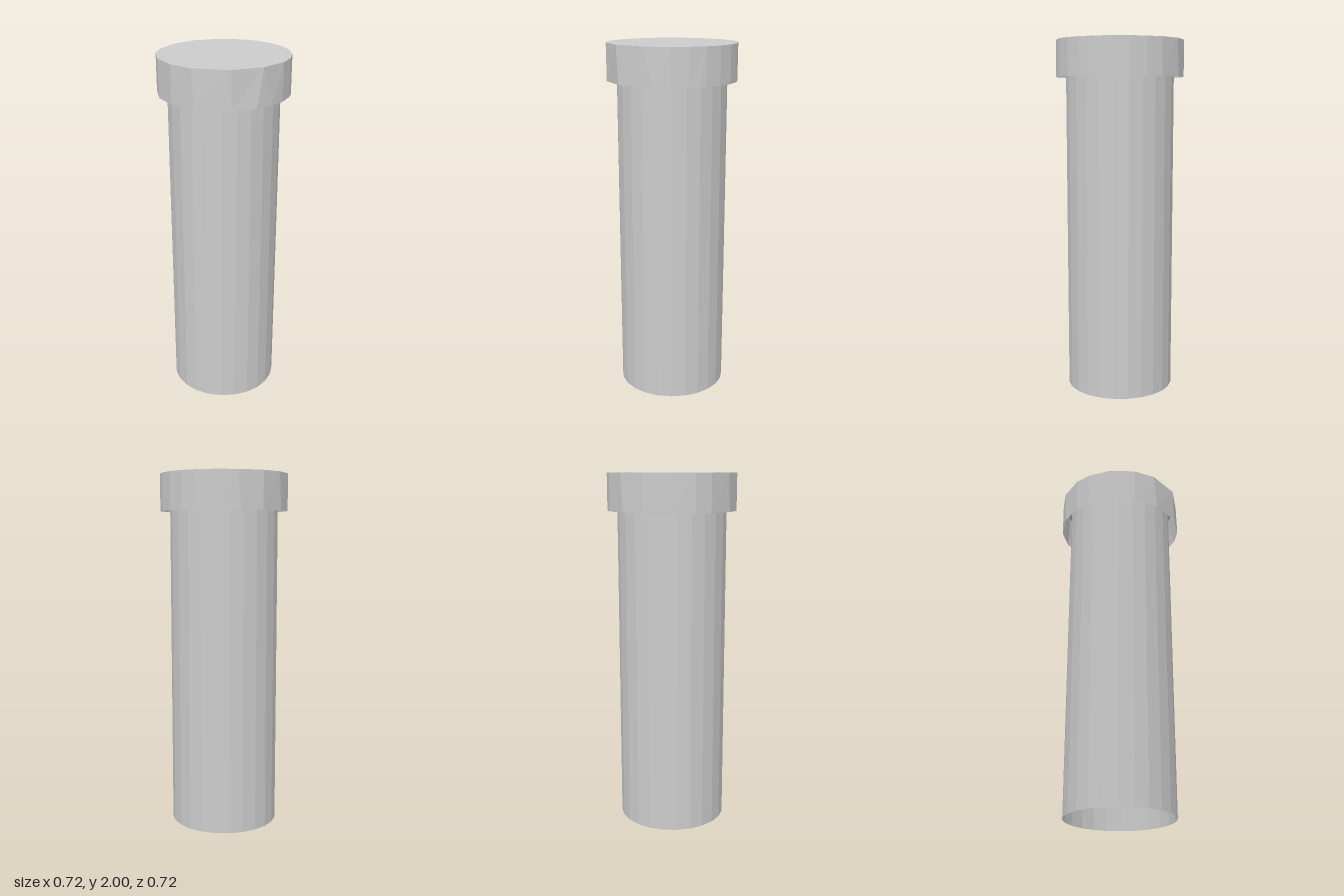
import * as THREE from 'three';

const material = new THREE.MeshStandardMaterial({
  color: 0xcccccc, flatShading: true, side: THREE.DoubleSide,
});

// Irregular cap: [upper angle, lower angle] in degrees, measured from +x towards +z
const CAP_ANGLES = [
  [-90, -90], [-75, -75], [-60, -60], [-45, -45], [-45, -38], [-30, -30], [-15, -15],
  [9, 0], [9, 15], [38, 36], [69, 66], [90, 90], [113, 111], [135, 135], [150, 150],
  [174, 171], [195, 195], [218.5, 216], [240, 240], [255, 255],
];

// Skirt and lid from two rings, open underneath
function capGeometry(radius, bottom, top) {
  const at = (deg, y) => {
    const a = THREE.MathUtils.degToRad(deg);
    return [radius * Math.cos(a), y, radius * Math.sin(a)];
  };
  const positions = [];
  CAP_ANGLES.forEach(([t, b], i) => {
    const [nextT, nextB] = CAP_ANGLES[(i + 1) % CAP_ANGLES.length];
    const t0 = at(t, top), t1 = at(nextT, top);
    const b0 = at(b, bottom), b1 = at(nextB, bottom);
    positions.push(...t0, ...b1, ...b0);
    if (t !== nextT) {
      positions.push(...t0, ...t1, ...b1);
      positions.push(0, top, 0, ...t1, ...t0);
    }
  });
  const geometry = new THREE.BufferGeometry();
  geometry.setAttribute('position', new THREE.Float32BufferAttribute(positions, 3));
  geometry.computeVertexNormals();
  return geometry;
}

export function createModel() {
  const group = new THREE.Group();
  group.name = 'cappedTube';

  // Hollow tube, open at the foot and running up inside the cap
  const height = 1.99;
  const tube = new THREE.Mesh(
    new THREE.CylinderGeometry(0.305, 0.305, height, 24, 1, true), material);
  tube.name = 'tube';
  tube.position.y = height / 2;

  const cap = new THREE.Mesh(capGeometry(0.36, 1.795, 2), material);
  cap.name = 'cap';

  group.add(tube, cap);
  return group;
}
